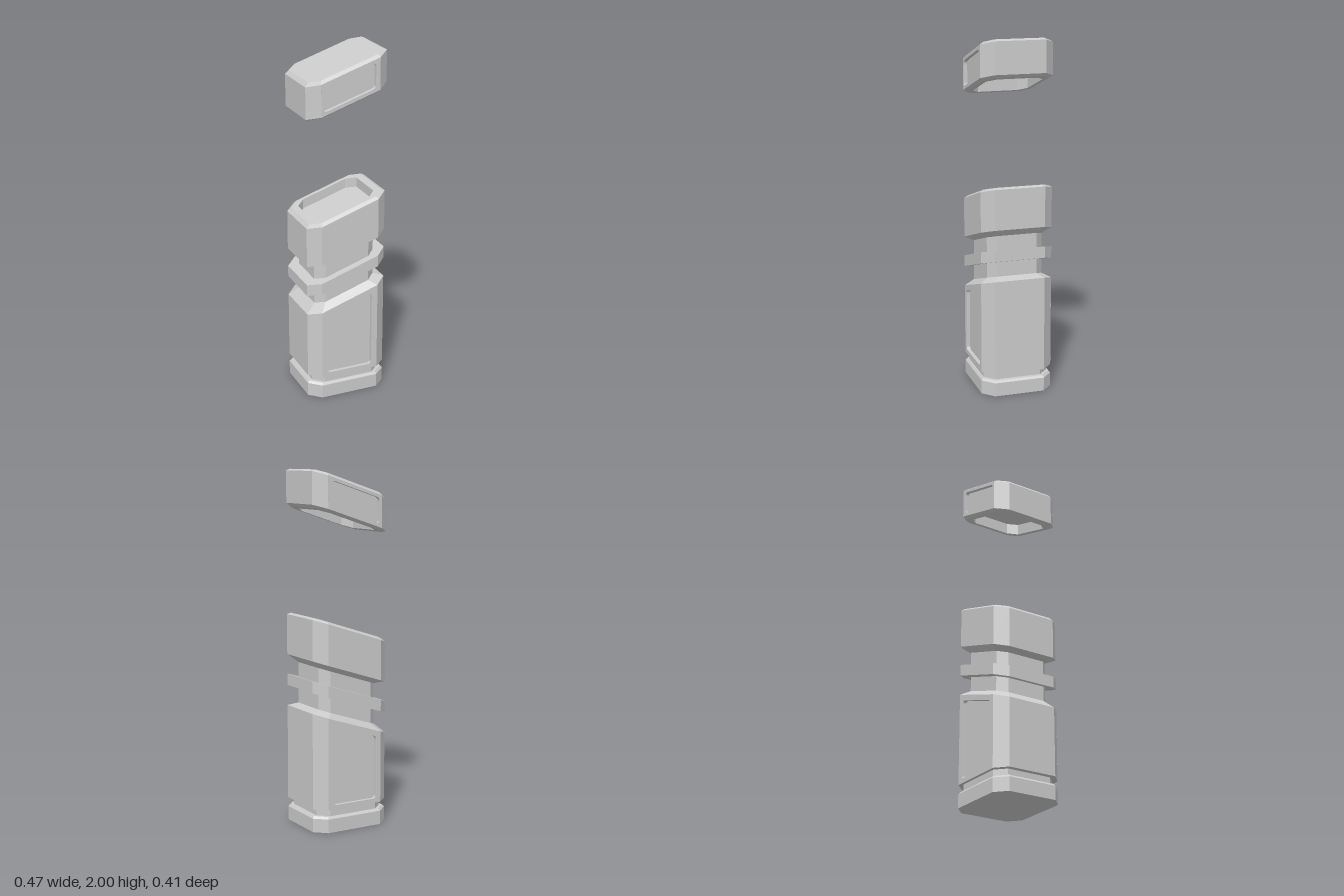
import * as THREE from 'three';

const SLOPE = 0.33;
const material = new THREE.MeshStandardMaterial({ color: 0xcccccc, flatShading: true, side: THREE.DoubleSide });

// Eight-sided ring; y is its height at x = 0, tilted along x by slope
function ring(hx, hz, y, slope = SLOPE, cut = 0.05) {
  const fx = hx - cut * 1.07, fz = hz - cut;
  return [[-fx, hz], [fx, hz], [hx, fz], [hx, -fz], [fx, -hz], [-fx, -hz], [-hx, -fz], [-hx, fz]]
    .map(([x, z]) => [x, y + x * slope, z]);
}
const outer = (y, slope) => ring(0.235, 0.205, y, slope, 0.061);
const rim = (y, slope) => ring(0.215, 0.185, y, slope, 0.049);
const inner = (y, slope) => ring(0.18, 0.16, y, slope, 0.046);

// Skin a stack of rings and close both ends; openBand leaves front and back of that band free for panels
function loft(name, rings, openBand = -1) {
  const pos = [];
  const tri = (a, b, c) => pos.push(...a, ...b, ...c);
  for (let i = 0; i < rings.length - 1; i++) {
    for (let j = 0; j < 8; j++) {
      if (i === openBand && j % 4 === 0) continue;
      const k = (j + 1) % 8, lo = rings[i], hi = rings[i + 1];
      tri(lo[j], lo[k], hi[k]);
      tri(lo[j], hi[k], hi[j]);
    }
  }
  const first = rings[0], last = rings[rings.length - 1];
  for (let j = 1; j < 7; j++) {
    tri(first[0], first[j + 1], first[j]);
    tri(last[0], last[j], last[j + 1]);
  }
  const geo = new THREE.BufferGeometry();
  geo.setAttribute('position', new THREE.Float32BufferAttribute(pos, 3));
  geo.computeVertexNormals();
  const mesh = new THREE.Mesh(geo, material);
  mesh.name = name;
  return mesh;
}

// Trace a polygon with rounded corners
function rounded(path, pts, r) {
  const v = pts.map(([x, y]) => new THREE.Vector2(x, y));
  v.forEach((p, i) => {
    const toward = (q) => q.clone().sub(p).setLength(r).add(p);
    const a = toward(v[(i + v.length - 1) % v.length]), b = toward(v[(i + 1) % v.length]);
    if (i === 0) path.moveTo(a.x, a.y); else path.lineTo(a.x, a.y);
    path.quadraticCurveTo(p.x, p.y, b.x, b.y);
  });
  path.closePath();
  return path;
}

// Wall frame with a sunken panel, on the front and on the back
function addPanels(group, name, wall, panel) {
  const depth = 0.022;
  for (const side of [1, -1]) {
    const flip = (pts) => pts.map(([x, y]) => [x * side, y]);
    const frame = new THREE.Shape(flip(wall).map(([x, y]) => new THREE.Vector2(x, y)));
    frame.holes.push(rounded(new THREE.Path(), flip(panel), 0.02));
    const frameGeo = new THREE.ExtrudeGeometry(frame, { depth, bevelEnabled: false, curveSegments: 4 });
    const plateGeo = new THREE.ShapeGeometry(rounded(new THREE.Shape(), flip(panel), 0.02), 4);
    const label = side > 0 ? 'Front' : 'Back';
    [[frameGeo, 'Frame', 0.205 - depth], [plateGeo, 'Panel', 0.205 - depth + 0.001]].forEach(([geo, part, z]) => {
      geo.translate(0, 0, z);
      if (side < 0) geo.rotateY(Math.PI);
      const mesh = new THREE.Mesh(geo, material);
      mesh.name = name + label + part;
      group.add(mesh);
    });
  }
}

// Four corners between two heights, each height tilted by its own slope
const slab = (x0, x1, y0, s0, y1, s1) =>
  [[x0, y0 + x0 * s0], [x1, y0 + x1 * s0], [x1, y1 + x1 * s1], [x0, y1 + x0 * s1]];

export function createModel() {
  const model = new THREE.Group();
  model.name = 'slantedContainer';

  // Foot and the groove above it
  model.add(loft('base', [outer(0, 0), outer(0.078, 0), ring(0.225, 0.195, 0.09, 0, 0.057)]));
  model.add(loft('baseGroove', [ring(0.205, 0.187, 0.085, 0, 0.055), ring(0.205, 0.187, 0.135, 0, 0.055)]));

  // Main body with slanted shoulder
  model.add(loft('lowerBody', [outer(0.13, 0), outer(0.595), inner(0.627)], 0));
  addPanels(model, 'lowerBody', slab(-0.17, 0.17, 0.13, 0, 0.595, SLOPE), slab(-0.14, 0.135, 0.155, 0, 0.562, SLOPE));

  // Neck with a raised band
  model.add(loft('neck', [inner(0.62), inner(0.87)]));
  model.add(loft('neckBand', [outer(0.711), outer(0.776)]));

  // Upper block with a sunken top
  model.add(loft('upperBody', [inner(0.86), outer(0.888), outer(1.116), rim(1.13), inner(1.13), inner(1.075)]));

  // Floating lid, hollow underneath
  model.add(loft('lid', [inner(1.79), inner(1.724), rim(1.724), outer(1.737), outer(1.915), rim(1.93)], 3));
  addPanels(model, 'lid', slab(-0.17, 0.17, 1.737, SLOPE, 1.915, SLOPE), slab(-0.155, 0.145, 1.757, SLOPE, 1.897, SLOPE));

  return model;
}
